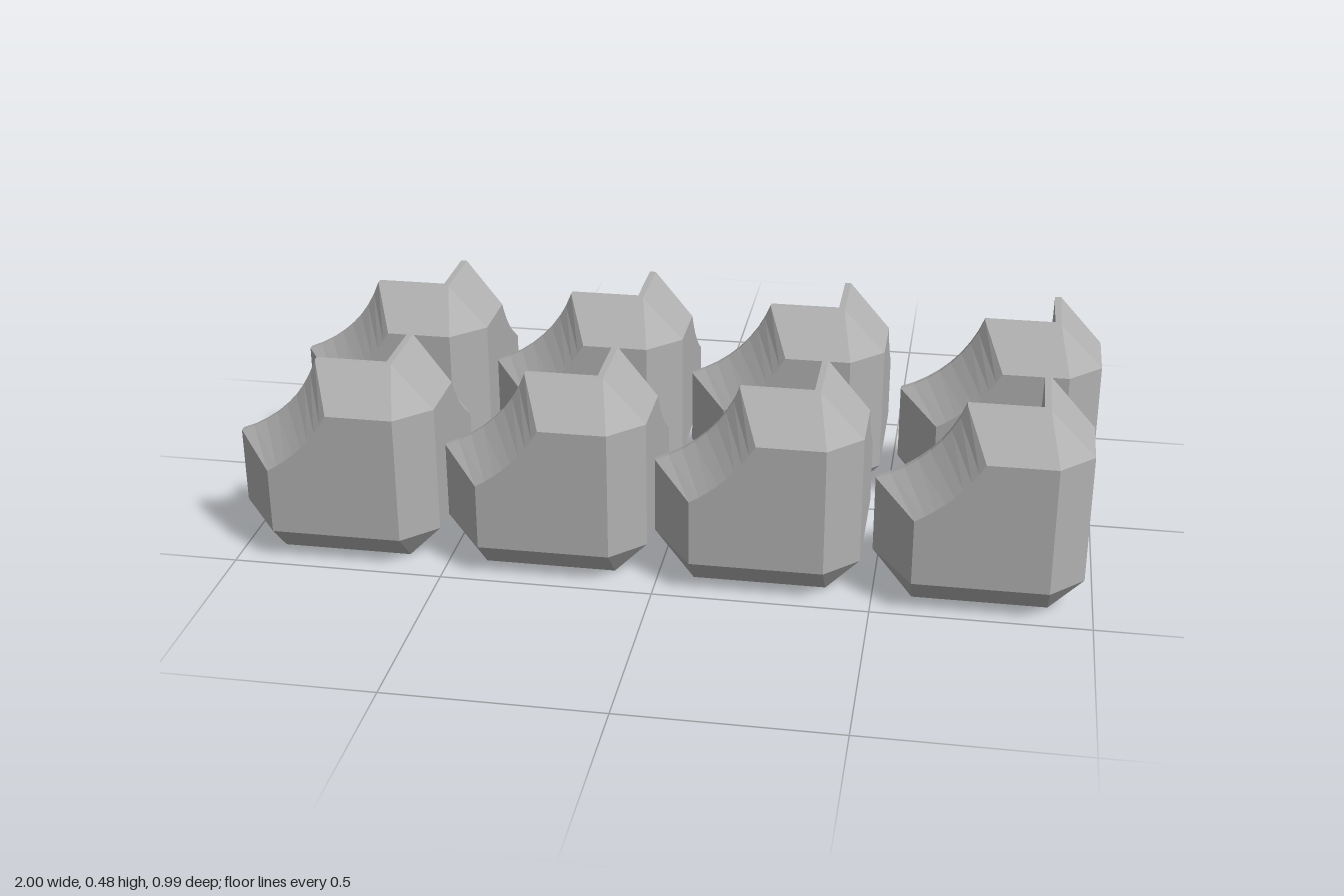
import * as THREE from 'three';

const S = 0.48;       // overall size of one bracket
const P = 0.077;      // chamfer along the outer edges
const Q = 0.385;      // end of the flat outer faces
const D = 0.103;      // depth where the bevel ends
const T = 0.118;      // wall thickness
const CENTRE = 0.59;  // centre of the round cut, on both wall axes
const SEGMENTS = 8;

// Points of the concave cut, from the far side (a = limit) to the top (b = limit)
function arc(radius, limit) {
  const off = CENTRE - limit;
  const start = Math.asin(off / radius);
  const end = Math.PI / 2 - start;
  const points = [];
  for (let i = 0; i <= SEGMENTS; i++) {
    const t = start + (end - start) * i / SEGMENTS;
    points.push([CENTRE - radius * Math.sin(t), CENTRE - radius * Math.cos(t)]);
  }
  return points;
}

// Three-walled corner shell; a, b, c are distances from the outer corner
function shellGeometry() {
  const positions = [];
  const put = (p) => positions.push(-p[0], p[1], -p[2]);
  const turn = (p, k) => [p[k % 3], p[(k + 1) % 3], p[(k + 2) % 3]];

  // Each triangle is repeated for all three walls
  const tri = (p, q, r) => {
    for (let k = 0; k < 3; k++) [p, q, r].forEach((v) => put(turn(v, k)));
  };
  const quad = (p, q, r, s) => { tri(p, q, r); tri(p, r, s); };
  const loop = (points, depth) => points.map(([a, b]) => [a, b, depth]);

  const face = loop([[Q, P], ...arc(0.41, Q), [P, Q]], 0);
  const rim = loop([[S, D], ...arc(0.324, S), [D, S]], D);
  const inner = loop([[S, T], ...arc(0.324, S), [T, S]], T);

  for (let i = 0; i < face.length - 1; i++) {
    const j = i + 1;
    tri([P, P, 0], face[j], face[i]);             // outer face
    quad(face[i], face[j], rim[j], rim[i]);       // bevel
    quad(rim[i], rim[j], inner[j], inner[i]);     // thin rim
    tri([T, T, T], inner[i], inner[j]);           // inner face
  }

  // Chamfer between neighbouring walls and its pointed end
  quad([P, P, 0], [Q, P, 0], [Q, 0, P], [P, 0, P]);
  tri([Q, P, 0], [S, D, D], [Q, 0, P]);

  // Clipped outer corner
  [[P, P, 0], [P, 0, P], [0, P, P]].forEach(put);

  const geometry = new THREE.BufferGeometry();
  geometry.setAttribute('position', new THREE.Float32BufferAttribute(positions, 3));
  geometry.computeVertexNormals();
  return geometry;
}

export function createModel() {
  const model = new THREE.Group();
  model.name = 'cornerBrackets';
  const grey = new THREE.MeshStandardMaterial({ color: 0xb0b0b0 });
  grey.name = 'grey';

  const shell = shellGeometry();
  const pegHeight = 0.035;
  const peg = new THREE.CylinderGeometry(0.044, 0.044, pegHeight, 32);

  // Outer corner (x, z) of every bracket
  const corners = [
    [-0.522, -0.015], [-0.024, -0.015], [0.477, -0.015], [1.0, -0.004],
    [-0.522, 0.483], [-0.026, 0.483], [0.469, 0.483], [0.976, 0.493],
  ];
  for (const [x, z] of corners) {
    const bracket = new THREE.Group();
    bracket.name = 'bracket';
    const walls = new THREE.Mesh(shell, grey);
    walls.name = 'cornerShell';
    const pin = new THREE.Mesh(peg, grey);
    pin.name = 'floorPeg';
    pin.position.set(-0.232, T + pegHeight / 2, -0.232);
    bracket.add(walls, pin);
    bracket.position.set(x, 0, z);
    model.add(bracket);
  }
  return model;
}
